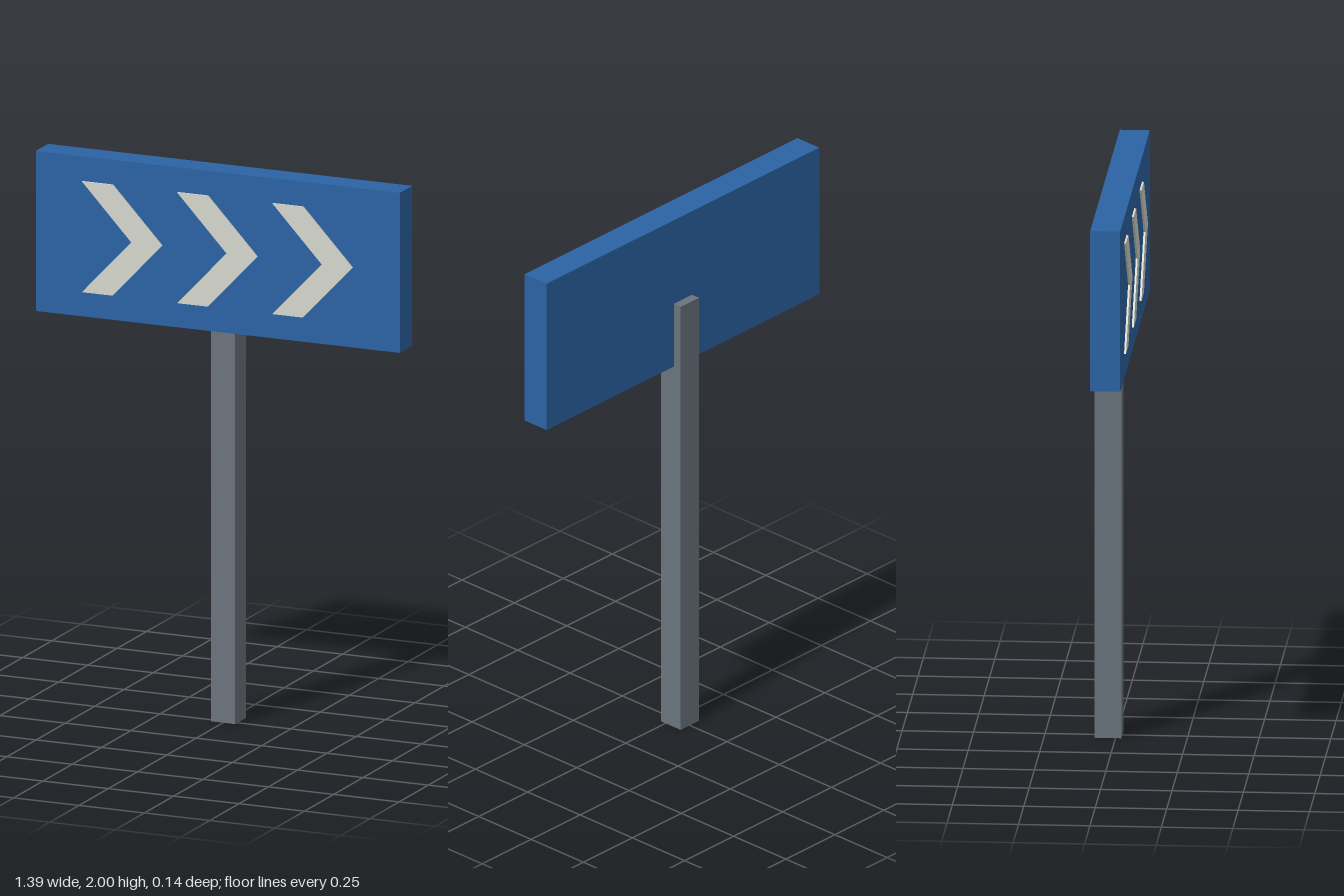
import * as THREE from 'three';

const BLUE = new THREE.MeshStandardMaterial({ color: 0x2b63a5 });
const STEEL = new THREE.MeshStandardMaterial({ color: 0x6b747d });
const WHITE = new THREE.MeshStandardMaterial({ color: 0xd6d7cd });

function part(name, geometry, material, x, y, z) {
  const mesh = new THREE.Mesh(geometry, material);
  mesh.name = name;
  mesh.position.set(x, y, z);
  return mesh;
}

export function createModel() {
  const group = new THREE.Group();
  group.name = 'directionSign';

  // Square post, partly let into the back of the panel
  const postHeight = 1.67;
  group.add(part('post', new THREE.BoxGeometry(0.093, postHeight, 0.093), STEEL, 0, postHeight / 2, -0.026));

  // Sign panel
  group.add(part('panel', new THREE.BoxGeometry(1.392, 0.578, 0.105), BLUE, 0, 1.711, 0.0125));

  // Raised chevrons pointing to +x
  const halfWidth = 0.153, halfHeight = 0.2, stroke = 0.117;
  const chevron = new THREE.Shape([
    new THREE.Vector2(-halfWidth, -halfHeight),
    new THREE.Vector2(-halfWidth + stroke, -halfHeight),
    new THREE.Vector2(halfWidth, 0),
    new THREE.Vector2(-halfWidth + stroke, halfHeight),
    new THREE.Vector2(-halfWidth, halfHeight),
    new THREE.Vector2(halfWidth - stroke, 0),
  ]);
  const chevronGeometry = new THREE.ExtrudeGeometry(chevron, { depth: 0.009, bevelEnabled: false });
  ['rightChevron', 'middleChevron', 'leftChevron'].forEach((name, i) => {
    group.add(part(name, chevronGeometry, WHITE, (i - 1) * 0.364, 1.711, 0.063));
  });

  return group;
}
